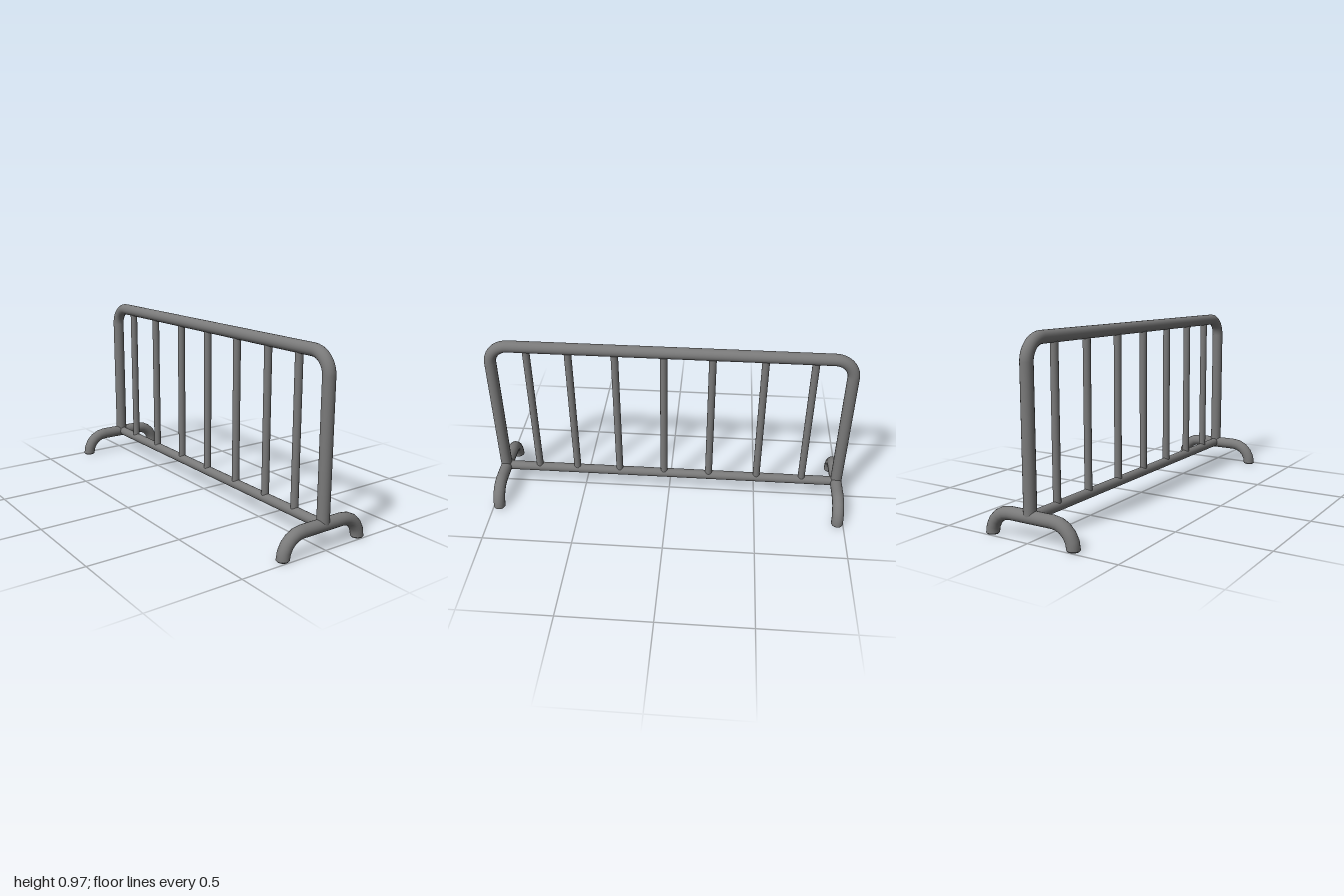
import * as THREE from 'three';

const material = new THREE.MeshStandardMaterial({ color: 0x7a7a7a });
const SIDES = 20;
const Z = -0.005; // plane of the railing

export function createModel() {
  const model = new THREE.Group();

  const add = (name, geometry, parent = model) => {
    const mesh = new THREE.Mesh(geometry, material);
    mesh.name = name;
    parent.add(mesh);
    return mesh;
  };

  // Straight round bar between two points
  const bar = (name, a, b, radius, parent) => {
    const from = new THREE.Vector3(...a), to = new THREE.Vector3(...b);
    const dir = to.clone().sub(from);
    const mesh = add(name, new THREE.CylinderGeometry(radius, radius, dir.length(), SIDES), parent);
    mesh.position.copy(from).add(to).multiplyScalar(0.5);
    mesh.quaternion.setFromUnitVectors(new THREE.Vector3(0, 1, 0), dir.normalize());
  };

  // Quarter bend rising from the horizontal side to the top, turned about y
  const bend = (name, center, bendRadius, radius, steps, turn, parent) => {
    const mesh = add(name, new THREE.TorusGeometry(bendRadius, radius, SIDES, steps, Math.PI / 2), parent);
    mesh.position.set(...center);
    mesh.rotation.y = turn;
  };

  // Outer frame: top rail, two rounded corners, two posts
  const postX = 0.968, topY = 0.94, corner = 0.105, tube = 0.032;
  const bendX = postX - corner, bendY = topY - corner;
  const frame = new THREE.Group();
  frame.name = 'outerFrame';
  model.add(frame);
  bar('topRail', [-bendX, topY, Z], [bendX, topY, Z], tube, frame);
  for (const [side, s] of [['left', 1], ['right', -1]]) {
    bend(side + 'Corner', [s * bendX, bendY, Z], corner, tube, 10, s > 0 ? 0 : Math.PI, frame);
    bar(side + 'Post', [s * postX, 0.125, Z], [s * postX, bendY, Z], tube, frame);
  }

  // Bottom rail
  bar('bottomRail', [-0.965, 0.118, Z], [0.965, 0.118, Z], 0.026);

  // Upright bars, slightly unevenly spaced
  [-0.767, -0.507, -0.23, 0.03, 0.291, 0.541, 0.766].forEach((x, i) =>
    bar('uprightBar' + (i + 1), [x, 0.118, Z], [x, 0.935, Z], 0.02));

  // Arched feet with small chamfered ends
  const footRadius = 0.033, arch = 0.112, lip = 0.005, straight = 0.127;
  for (const [side, s] of [['left', 1], ['right', -1]]) {
    const foot = new THREE.Group();
    foot.name = side + 'Foot';
    foot.position.x = s * 0.967;
    model.add(foot);
    bar('footBar', [0, arch + lip, -straight], [0, arch + lip, straight], footRadius, foot);
    for (const d of [1, -1]) {
      bend('footBend', [0, lip, d * straight], arch, footRadius, 5, -d * Math.PI / 2, foot);
      const end = add('footEnd', new THREE.CylinderGeometry(footRadius, 0.029, lip, SIDES), foot);
      end.position.set(0, lip / 2, d * (straight + arch));
    }
  }

  return model;
}
